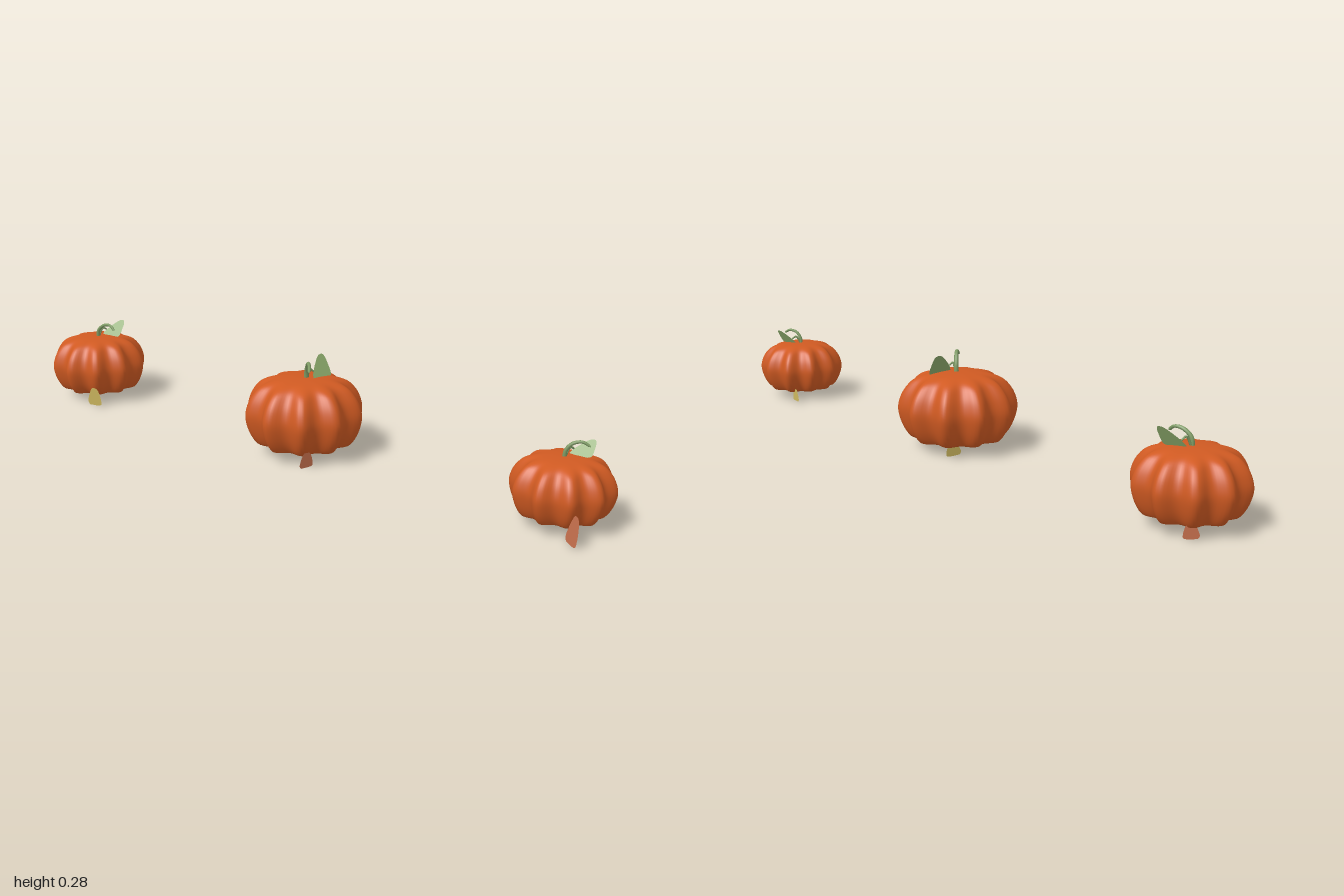
import * as THREE from 'three';
import { mergeVertices } from 'three/addons/utils/BufferGeometryUtils.js';

const V = (a) => new THREE.Vector3(...a);

function material(name, color, side = THREE.FrontSide) {
  const m = new THREE.MeshStandardMaterial({ color, side });
  m.name = name;
  return m;
}

// Ribbed body: a lathe whose rings are pinched between ten ridges
function pumpkinGeometry() {
  const R = 0.177;
  const profile = new THREE.SplineCurve([
    [0, 0], [0.07, 0.001], [0.125, 0.005], [0.146, 0.016], [0.166, 0.05], [R, 0.093],
    [0.171, 0.128], [0.155, 0.158], [0.13, 0.182], [0.09, 0.196], [0.04, 0.202], [0, 0.203],
  ].map((p) => new THREE.Vector2(...p))).getPoints(44);
  profile.forEach((p) => { p.x = Math.max(p.x, 0); });
  let g = new THREE.LatheGeometry(profile, 120);
  const pos = g.attributes.position;
  for (let i = 0; i < pos.count; i++) {
    const x = pos.getX(i), z = pos.getZ(i);
    const ridge = Math.pow(0.5 + 0.5 * Math.cos(10 * Math.atan2(x, z)), 1.2);
    const depth = 0.15 * THREE.MathUtils.smoothstep(Math.hypot(x, z) / R, 0.25, 0.85);
    const k = 1 - depth * (1 - ridge);
    pos.setX(i, x * k);
    pos.setZ(i, z * k);
  }
  g.deleteAttribute('uv');
  g.deleteAttribute('normal');
  g = mergeVertices(g, 1e-5);
  g.computeVertexNormals();
  return g;
}

// Tube narrowing to a closed tip
function stemGeometry(points, r0, r1) {
  const n = 20, sides = 8;
  const curve = new THREE.CatmullRomCurve3(points.map(V));
  const g = new THREE.TubeGeometry(curve, n, 1, sides);
  const pos = g.attributes.position, p = new THREE.Vector3();
  for (let i = 0; i < pos.count; i++) {
    const ring = Math.floor(i / (sides + 1));
    const c = curve.getPointAt(ring / n);
    const r = ring === n ? 0.0005 : THREE.MathUtils.lerp(r0, r1, ring / n);
    p.fromBufferAttribute(pos, i).sub(c).multiplyScalar(r).add(c);
    pos.setXYZ(i, p.x, p.y, p.z);
  }
  return g;
}

// Flat leaf outline laid in the plane spanned by u and v
function leafGeometry(outline, base, u, v) {
  const [first, ...rest] = outline.map((p) => new THREE.Vector2(...p));
  const shape = new THREE.Shape().moveTo(first.x, first.y) || new THREE.Shape();
  shape.splineThru(rest);
  const U = V(u), W = V(v);
  const N = new THREE.Vector3().crossVectors(U, W).normalize();
  const g = new THREE.ShapeGeometry(shape, 5);
  g.applyMatrix4(new THREE.Matrix4().makeBasis(U, W, N).setPosition(...base));
  g.computeVertexNormals();
  return g;
}

const TOP_LEAF = [[0, 0], [0.15, 0.32], [0.6, 0.88], [0.85, 1], [0.97, 0.9], [1, 0.6], [0.93, -0.05], [0.5, -0.1], [0, 0]];
const FOOT_LEAF = [[-0.38, 0], [0.38, 0], [0.5, 0.25], [0.36, 0.8], [0.12, 1], [-0.2, 0.92], [-0.5, 0.25], [-0.38, 0]];

const PUMPKINS = [
  {
    name: 'rightPumpkin', x: -0.85, scale: 0.87, turn: 0.13,
    stem: [[-0.85, 0.19, 0], [-0.845, 0.218, 0], [-0.825, 0.236, -0.006], [-0.8, 0.238, -0.01], [-0.78, 0.224, -0.008]],
    leaf: [[-0.85, 0.2, -0.022], [0.062, 0, -0.02], [0, 0.047, -0.025]],
    feet: [
      ['yellow', [-0.763, 0, 0.105], [0.045, 0, -0.015], [0, 0.058, 0.004]],
      ['russet', [-0.927, 0, -0.085], [0.027, 0, -0.03], [0, 0.04, 0]],
    ],
  },
  {
    name: 'middlePumpkin', x: 0.03, scale: 1, turn: 0,
    stem: [[0.035, 0.215, -0.002], [0.04, 0.248, 0.002], [0.055, 0.272, 0.015], [0.076, 0.274, 0.036], [0.09, 0.26, 0.054]],
    leaf: [[0.06, 0.224, -0.004], [0.008, 0, -0.077], [-0.032, 0.056, 0]],
    feet: [
      ['russet', [0.125, 0, 0.11], [0.01, 0, -0.046], [0, 0.045, 0]],
      ['yellow', [-0.045, 0, -0.08], [0.006, 0, -0.05], [0, 0.04, 0]],
    ],
  },
  {
    name: 'leftPumpkin', x: 0.867, scale: 0.775, turn: 0,
    stem: [[0.865, 0.173, 0], [0.868, 0.195, -0.001], [0.882, 0.214, -0.008], [0.903, 0.219, -0.02], [0.922, 0.208, -0.028]],
    leaf: [[0.868, 0.181, -0.022], [0.057, 0, -0.015], [0, 0.038, -0.02]],
    feet: [
      ['russet', [0.951, 0, 0.11], [0.044, 0, 0.03], [0.012, 0.077, 0]],
      ['yellow', [0.788, 0, -0.078], [0.046, 0, 0.008], [0, 0.04, 0]],
    ],
  },
];

export function createModel() {
  const model = new THREE.Group();
  model.name = 'pumpkins';
  const orange = material('pumpkinOrange', 0xd05a22);
  const green = material('stemGreen', 0x7f9c65);
  const leafGreen = material('leafGreen', 0x8fae6e, THREE.DoubleSide);
  const foot = {
    yellow: material('leafYellow', 0xcdb75f, THREE.DoubleSide),
    russet: material('leafRusset', 0xc8714e, THREE.DoubleSide),
  };
  const body = pumpkinGeometry();

  for (const d of PUMPKINS) {
    const group = new THREE.Group();
    group.name = d.name;
    const add = (name, geometry, mat) => {
      const mesh = new THREE.Mesh(geometry, mat);
      mesh.name = name;
      group.add(mesh);
      return mesh;
    };
    const b = add('body', body, orange);
    b.scale.setScalar(d.scale);
    b.position.set(d.x, 0.022, 0);
    b.rotation.y = d.turn;

    // Curled stem, leaf and the short stalk joining them
    add('stem', stemGeometry(d.stem, 0.0075 * d.scale, 0.0045 * d.scale), green);
    add('topLeaf', leafGeometry(TOP_LEAF, ...d.leaf), leafGreen);
    const [base, u, v] = d.leaf.map(V);
    const end = base.clone().addScaledVector(u, 0.15).addScaledVector(v, 0.3);
    const mid = V(d.stem[1]).lerp(end, 0.5).add(V([0, 0.006, 0]));
    add('leafStalk', stemGeometry([d.stem[0], mid.toArray(), end.toArray()], 0.004, 0.0025), green);

    // Fallen leaves tucked under the body
    for (const [color, ...place] of d.feet) {
      add(color + 'FallenLeaf', leafGeometry(FOOT_LEAF, ...place), foot[color]);
    }
    model.add(group);
  }
  return model;
}
